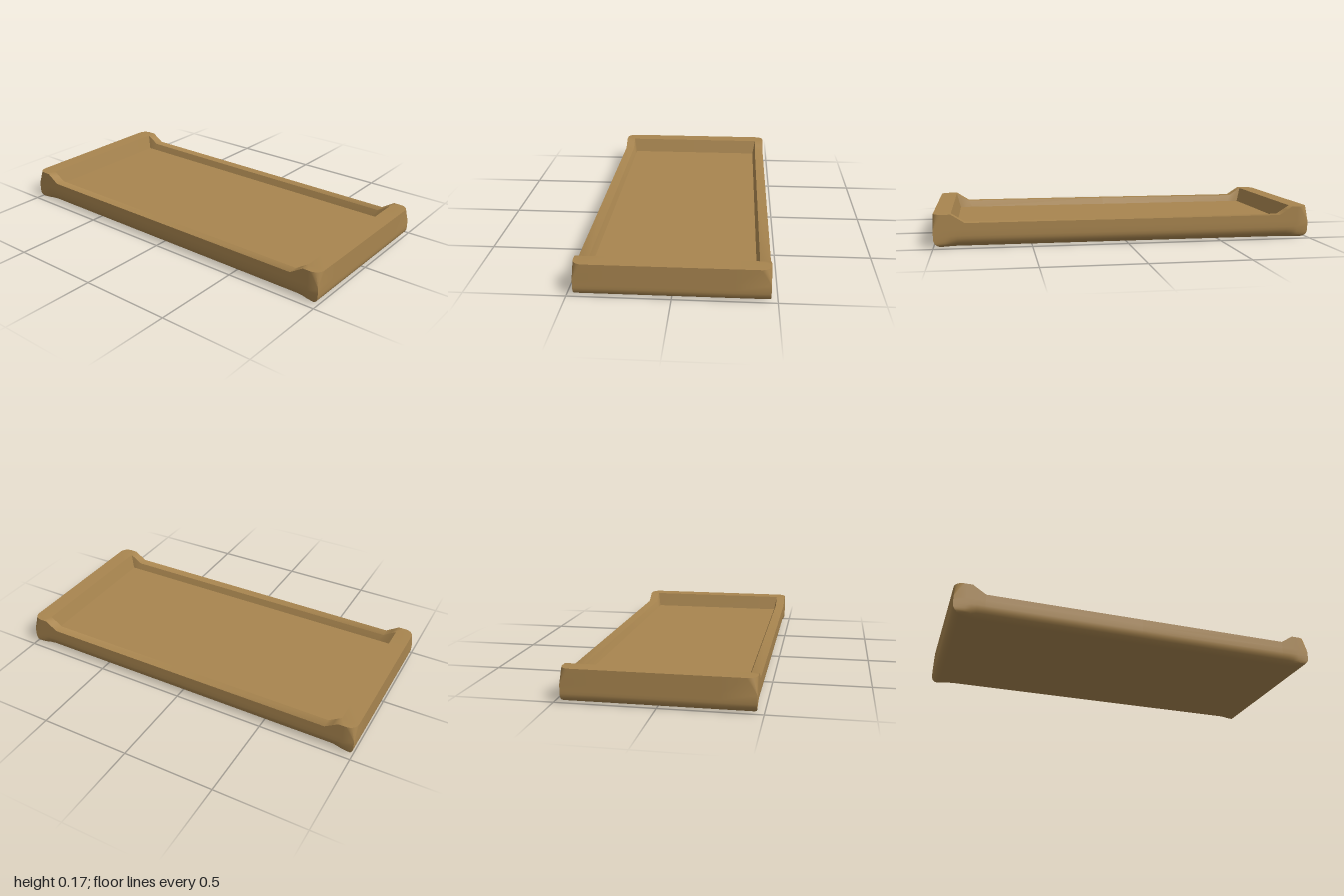
import * as THREE from 'three';
import { toCreasedNormals } from 'three/addons/utils/BufferGeometryUtils.js';

const X = 0.467, Z = 1;              // outer half width and half length
const IX = 0.415, IZ = 0.91;         // half size of the opening
const FX = 0.4, FZ = 0.887, FY = 0.088; // recessed floor
const SIDE_STOPS = [0, 0.84, 0.88, 0.91, 0.94];
const ARC = 8;

// Rim height: low along the sides, ramping up to the raised ends
const rimY = z => THREE.MathUtils.mapLinear(THREE.MathUtils.clamp(z, 0.84, 0.91), 0.84, 0.91, 0.125, 0.17);

// Inset of a rounded lower edge with the given depth and height
const roundInset = (y, depth, height) => {
  const t = Math.max(0, 1 - y / height);
  return depth * (1 - Math.sqrt(1 - t * t));
};

// One quarter of an outline; r is the plan radius of the corner
function quarter(endZ, r, xAt, map) {
  const pts = SIDE_STOPS.map(z => [xAt(z), z]);
  const cx = xAt(endZ) - r, cz = endZ - r;
  for (let i = 0; i <= ARC; i++) {
    const a = (i / ARC) * Math.PI / 2;
    pts.push([cx + r * Math.cos(a), cz + r * Math.sin(a)]);
  }
  pts.push([0.3, endZ], [0, endZ]);
  return pts.map(map);
}

// Mirror a quarter into a full loop
function ring(q) {
  const loop = [];
  [[1, 1], [-1, 1], [-1, -1], [1, -1]].forEach(([sx, sz], k) => {
    const part = k % 2 ? [...q].reverse() : q;
    part.forEach(([x, y, z]) => loop.push(new THREE.Vector3(sx * x, y, sz * z)));
  });
  return loop;
}

// Outer loop at height y; the long sides are undercut, the corners flare out
function outerRing(y) {
  const xAt = z => {
    const flare = THREE.MathUtils.smoothstep(z, 0.88, 0.97);
    return X - THREE.MathUtils.lerp(roundInset(y, 0.055, 0.06), roundInset(y, 0.035, 0.02), flare);
  };
  return ring(quarter(Z - roundInset(y, 0.05, 0.045), 0, xAt, ([x, z]) => [x, y, z]));
}

// Skin neighbouring loops, leaving out collapsed triangles
function skin(name, rings, material) {
  const pos = [], tri = new THREE.Triangle();
  const add = (a, b, c) => {
    if (tri.set(a, b, c).getArea() > 1e-8) pos.push(...a, ...b, ...c);
  };
  for (let j = 0; j + 1 < rings.length; j++) {
    const lo = rings[j], hi = rings[j + 1];
    lo.forEach((p, i) => {
      const n = (i + 1) % lo.length;
      add(p, hi[i], lo[n]);
      add(lo[n], hi[i], hi[n]);
    });
  }
  const geo = new THREE.BufferGeometry();
  geo.setAttribute('position', new THREE.Float32BufferAttribute(pos, 3));
  const mesh = new THREE.Mesh(toCreasedNormals(geo, 0.6), material);
  mesh.name = name;
  return mesh;
}

export function createModel() {
  const group = new THREE.Group();
  group.name = 'tray';
  const material = new THREE.MeshStandardMaterial({ color: 0xa8854f });

  const top = map => ring(quarter(Z, 0.05, () => X, map));
  const centre = y => top(() => [0, y, 0]);
  const rimOuter = top(([x, z]) => [x, rimY(z), z]);
  const rimInner = top(([x, z]) => [Math.min(x, IX), rimY(z), Math.min(z, IZ)]);
  const floorEdge = top(([x, z]) => [Math.min(x, IX) * FX / IX, FY, Math.min(z, IZ) * FZ / IZ]);

  // Underside and outer walls, with corners rounding towards the top
  const walls = [0, 0.002, 0.006, 0.012, 0.02, 0.032, 0.045, 0.06, 0.09].map(outerRing);
  group.add(skin('outerShell', [centre(0), ...walls, rimOuter], material));
  // Flat rim with ramps to the raised ends
  group.add(skin('rim', [rimOuter, rimInner], material));
  // Sloped inner walls and floor
  group.add(skin('recess', [rimInner, floorEdge, centre(FY)], material));
  return group;
}
